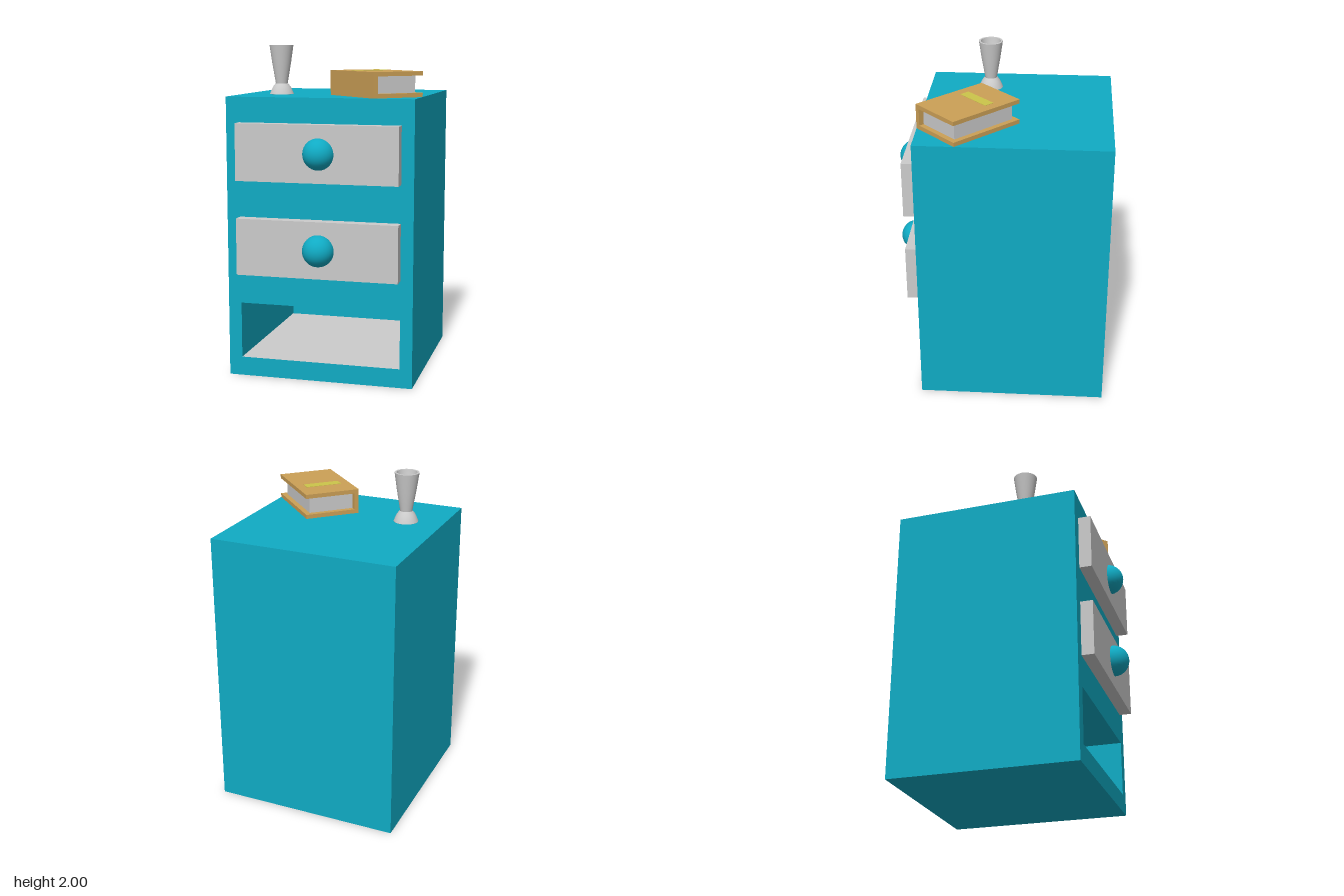
import * as THREE from 'three';

const mat = (color, side = THREE.FrontSide) => new THREE.MeshStandardMaterial({ color, side });
const TEAL = 0x10abc4, GREY = 0xcccccc, BROWN = 0xcca056, YELLOW = 0xccc54a;

function add(parent, name, geometry, material, x = 0, y = 0, z = 0) {
  const mesh = new THREE.Mesh(geometry, material);
  mesh.name = name;
  mesh.position.set(x, y, z);
  parent.add(mesh);
  return mesh;
}

// Box with some faces left out (0 +x, 1 -x, 2 +y, 3 -y, 4 +z, 5 -z)
function openBox(w, h, d, missing) {
  const g = new THREE.BoxGeometry(w, h, d);
  const index = Array.from(g.index.array).filter((_, i) => !missing.includes(Math.floor(i / 6)));
  g.setIndex(index);
  g.clearGroups();
  return g;
}

function rectangle(path, x0, y0, x1, y1) {
  path.moveTo(x0, y0);
  path.lineTo(x1, y0);
  path.lineTo(x1, y1);
  path.lineTo(x0, y1);
  path.closePath();
  return path;
}

function createCabinet() {
  const cabinet = new THREE.Group();
  cabinet.name = 'cabinet';
  const teal = mat(TEAL), grey = mat(GREY);
  const front = 0.48, back = -0.65, cx = -0.0025, w = 1.135, h = 1.7;

  // Outer shell and front face with the opening of the missing drawer
  add(cabinet, 'shell', openBox(w, h, front - back, [4]), teal, cx, h / 2, (front + back) / 2);
  const face = rectangle(new THREE.Shape(), cx - w / 2, 0, cx + w / 2, h);
  face.holes.push(rectangle(new THREE.Path(), -0.49, 0.115, 0.49, 0.455));
  add(cabinet, 'frontFace', new THREE.ShapeGeometry(face), teal, 0, 0, front);

  // Empty drawer bay, seen from inside, with a grey floor
  const depth = 1.05;
  add(cabinet, 'bayWalls', openBox(0.98, 0.34, depth, [3, 4]), mat(TEAL, THREE.BackSide), 0, 0.285, front - depth / 2);
  add(cabinet, 'bayFloor', new THREE.PlaneGeometry(0.98, depth).rotateX(-Math.PI / 2), grey, 0, 0.115, front - depth / 2);

  // Two closed drawers with round knobs
  [[0.815, 0.815, 0.557], [1.38, 1.38, 0.542]].forEach(([y, knobY, knobZ], i) => {
    const drawer = new THREE.Group();
    drawer.name = i ? 'upperDrawer' : 'lowerDrawer';
    add(drawer, 'drawerFront', new THREE.BoxGeometry(0.98, 0.34, 0.075), grey, 0, y, front + 0.0375);
    add(drawer, 'knob', new THREE.SphereGeometry(0.094, 32, 20), teal, 0.016, knobY, knobZ);
    cabinet.add(drawer);
  });
  return cabinet;
}

function createVase() {
  const vase = new THREE.Group();
  vase.name = 'vase';
  vase.position.set(-0.343, 1.7, 0.103);
  const grey = mat(GREY, THREE.DoubleSide);
  const lathe = (name, points) =>
    add(vase, name, new THREE.LatheGeometry(points.map(p => new THREE.Vector2(...p)), 32), grey);
  lathe('foot', [[0, 0], [0.074, 0], [0.074, 0.001], [0.066, 0.022], [0.054, 0.046], [0.038, 0.066]]);
  lathe('bowl', [[0.036, 0.062], [0.046, 0.12], [0.058, 0.19], [0.074, 0.3]]);
  lathe('rim', [[0.074, 0.3], [0.062, 0.3]]);
  lathe('cavity', [[0.062, 0.3], [0.046, 0.2], [0, 0.075]]);
  return vase;
}

function createBook() {
  const book = new THREE.Group();
  book.name = 'book';
  book.position.set(0.272, 1.7, 0.1875);
  book.rotation.y = -Math.PI / 4;
  const brown = mat(BROWN);
  const L = 0.49, W = 0.339, H = 0.15, spine = 0.028, inset = 0.032;

  // One folded cover: a C-shaped section extruded along the spine
  const section = new THREE.Shape();
  const a = W / 2, t = 0.025;
  [[-a, 0], [a, 0], [a, t], [-a + spine, t], [-a + spine, H - t], [a, H - t], [a, H], [-a, H]]
    .forEach(([x, y], i) => (i ? section.lineTo(x, y) : section.moveTo(x, y)));
  const cover = new THREE.ExtrudeGeometry(section, { depth: L, bevelEnabled: false });
  cover.translate(0, 0, -L / 2).rotateY(Math.PI / 2);
  add(book, 'cover', cover, brown);

  const pageW = W - spine - inset;
  add(book, 'pages', new THREE.BoxGeometry(L - 2 * inset, H - 2 * t, pageW), mat(GREY), 0, H / 2, a - spine - pageW / 2);
  add(book, 'titleStrip', new THREE.BoxGeometry(0.062, 0.004, 0.224), mat(YELLOW), -0.065, H, 0);
  return book;
}

export function createModel() {
  const model = new THREE.Group();
  model.name = 'nightstand';
  model.add(createCabinet(), createVase(), createBook());
  return model;
}
